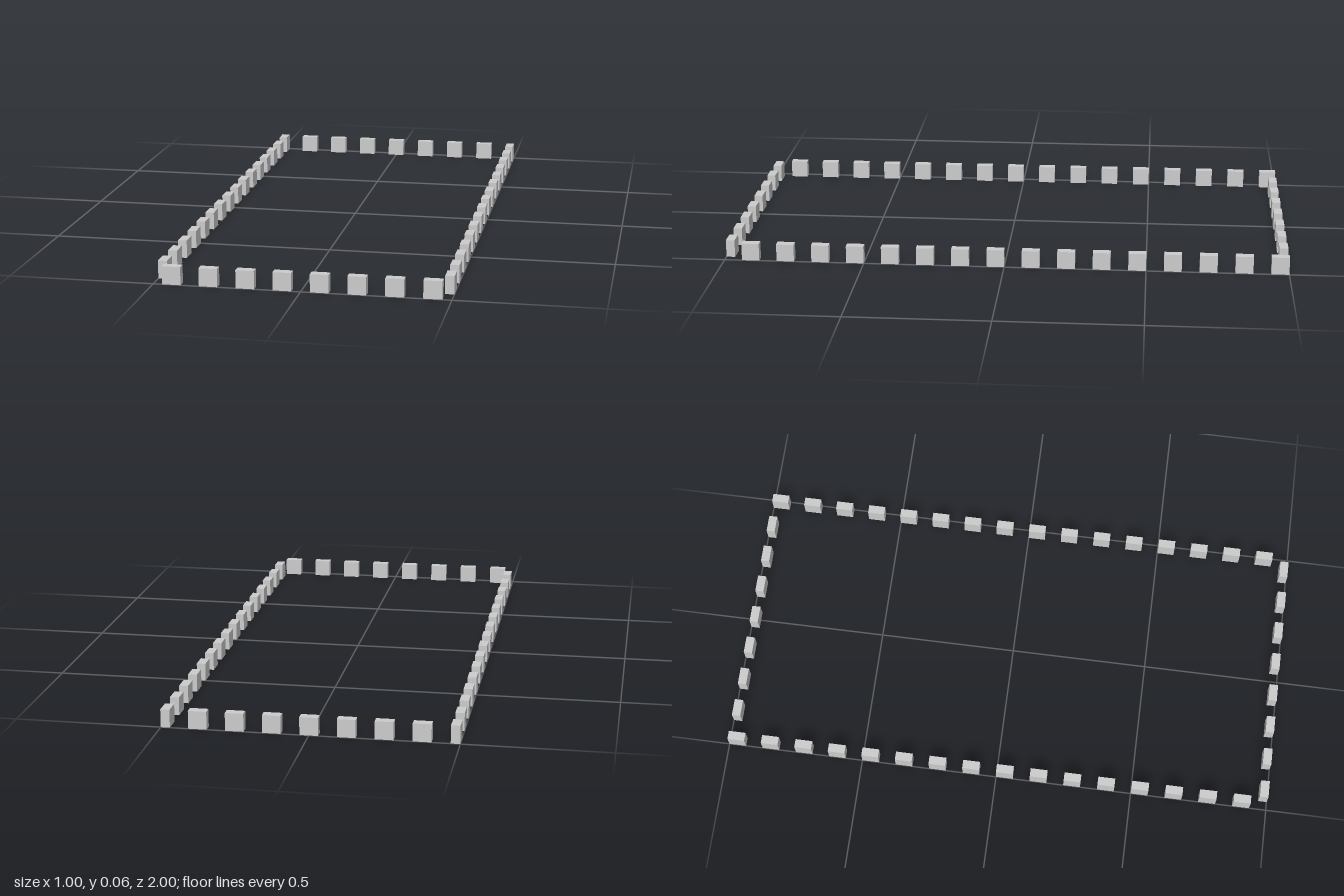
import * as THREE from 'three';

const SIZE = 1 / 16;      // block length and height
const DEPTH = 1 / 32;     // block thickness
const PITCH = 2 * SIZE;   // centre-to-centre spacing

export function createModel() {
  const model = new THREE.Group();
  model.name = 'crenellations';
  const material = new THREE.MeshStandardMaterial({ color: 0xcccccc, flatShading: true });
  const alongX = new THREE.BoxGeometry(SIZE, SIZE, DEPTH);
  const alongZ = new THREE.BoxGeometry(DEPTH, SIZE, SIZE);

  // One straight row of evenly spaced merlons
  function addRow(name, geometry, count, place) {
    const row = new THREE.Group();
    row.name = name;
    for (let i = 0; i < count; i++) {
      const merlon = new THREE.Mesh(geometry, material);
      merlon.name = 'merlon';
      const [x, z] = place(i * PITCH);
      merlon.position.set(x, SIZE / 2, z);
      row.add(merlon);
    }
    model.add(row);
  }

  const edgeX = 0.5 - DEPTH / 2;
  const edgeZ = 1 - DEPTH / 2;

  // Long sides start flush with the back edge
  addRow('leftRow', alongZ, 16, (d) => [edgeX, -1 + SIZE / 2 + d]);
  addRow('rightRow', alongZ, 16, (d) => [-edgeX, -1 + SIZE / 2 + d]);

  // Short ends, the back row fitting between the corner merlons
  addRow('frontRow', alongX, 8, (d) => [-3.5 * PITCH + d, edgeZ]);
  addRow('backRow', alongX, 7, (d) => [-3 * PITCH + d, -edgeZ]);

  return model;
}
